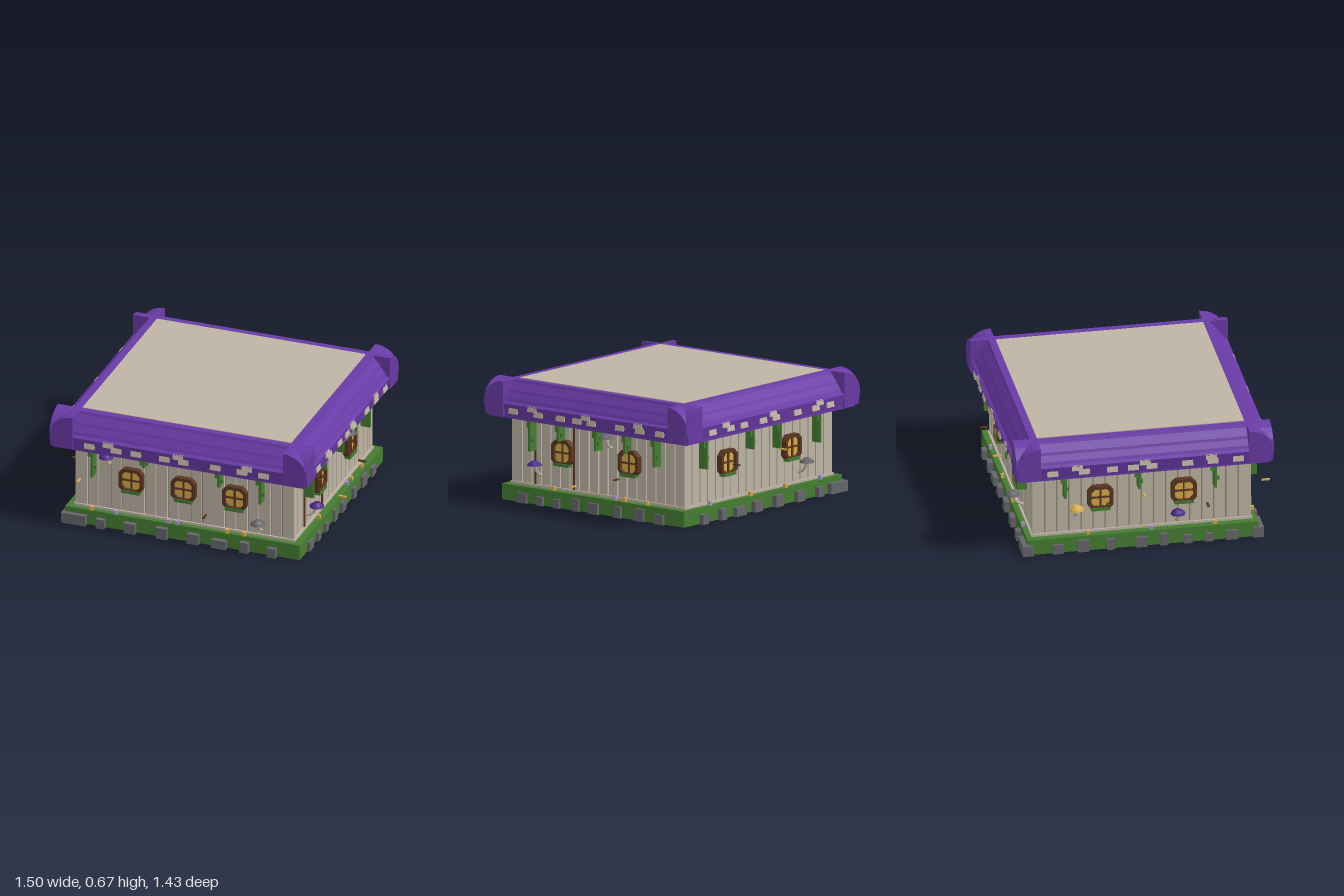
import * as THREE from 'three';

const mat = (name, color) => Object.assign(new THREE.MeshStandardMaterial({ color }), { name });
const M = {
  purple: mat('roof purple', 0x693aa6),
  beige: mat('weathered plank', 0xbeb4a4),
  gap: mat('plank gap', 0x8c8375),
  moss: mat('moss green', 0x457c31),
  stone: mat('grey stone', 0x66656a),
  wood: mat('dark wood', 0x5a3620),
  gold: mat('amber glass', 0xd9aa4b),
  violet: mat('violet cap', 0x4c2788),
  lilac: mat('lilac flower', 0xa996cc),
};

function add(parent, name, geo, material, x = 0, y = 0, z = 0) {
  const m = new THREE.Mesh(geo, material);
  m.name = name;
  m.position.set(x, y, z);
  parent.add(m);
  return m;
}
const box = (p, name, material, w, h, d, x, y, z) =>
  add(p, name, new THREE.BoxGeometry(w, h, d), material, x, y, z);

// Extrudes an (outward, height) profile along local x, centred on x = 0
function prism(points, length) {
  const s = new THREE.Shape(points.map(([a, b]) => new THREE.Vector2(a, b)));
  const g = new THREE.ExtrudeGeometry(s, { depth: length, bevelEnabled: false });
  return g.rotateY(-Math.PI / 2).translate(length / 2, 0, 0);
}

function octagon(r, c, Type = THREE.Shape) {
  return new Type([[r, -r + c], [r, r - c], [r - c, r], [-r + c, r], [-r, r - c],
    [-r, -r + c], [-r + c, -r], [r - c, -r]].map(([x, y]) => new THREE.Vector2(x, y)));
}

function windowUnit(parent, x, wall) {
  const g = new THREE.Group();
  g.name = 'window';
  g.position.set(x, 0.303, wall);
  const ring = octagon(0.07, 0.028);
  ring.holes.push(octagon(0.052, 0.02, THREE.Path));
  add(g, 'windowFrame', new THREE.ExtrudeGeometry(ring, { depth: 0.033, bevelEnabled: false }), M.wood);
  add(g, 'windowGlass', new THREE.ShapeGeometry(octagon(0.056, 0.02)), M.gold, 0, 0, 0.016);
  box(g, 'windowBar', M.wood, 0.009, 0.106, 0.01, 0, 0, 0.02);
  box(g, 'windowBar', M.wood, 0.106, 0.009, 0.01, 0, 0, 0.02);
  box(g, 'mossySill', M.moss, 0.105, 0.018, 0.035, 0, -0.066, 0.02);
  parent.add(g);
}

// Shelf mushroom on a bent stem growing out of the wall
function mushroom(parent, x, y, wall, material) {
  const g = new THREE.Group();
  g.name = 'mushroom';
  g.position.set(x, y, wall);
  const stem = new THREE.CatmullRomCurve3([new THREE.Vector3(0, -0.07, -0.01),
    new THREE.Vector3(0, -0.05, 0.035), new THREE.Vector3(0, 0, 0.06)]);
  add(g, 'mushroomStem', new THREE.TubeGeometry(stem, 5, 0.008, 6), M.beige);
  add(g, 'mushroomBrim', new THREE.CylinderGeometry(0.036, 0.042, 0.012, 8), material, 0, 0, 0.06);
  add(g, 'mushroomCrown', new THREE.CylinderGeometry(0.016, 0.032, 0.014, 8), material, 0, 0.013, 0.06);
  parent.add(g);
}

const BAND = 0.135, TOP = 0.67;
// Sloping eave between corners, and the rounded eave used at each corner
const slopedEave = [[0, 0.48], [0.118, 0.48], [0.134, 0.55], [0.115, 0.56], [0.108, 0.575],
  [0.084, 0.605], [0.078, 0.618], [0.045, 0.655], [0.038, TOP], [0, TOP]];
const roundEave = [[0, 0.48], [0.12, 0.48], [BAND, 0.55]];
for (let i = 1; i <= 6; i++) {
  const a = (i / 6) * Math.PI / 2;
  roundEave.push([BAND * Math.cos(a), 0.55 + 0.12 * Math.sin(a)]);
}

function side(cfg) {
  const g = new THREE.Group();
  g.name = cfg.name;
  g.rotation.y = cfg.turn;
  const { half, wall, inner, eave } = cfg;

  // Plank cladding
  const n = Math.round((half * 2) / 0.066), step = (half * 2) / n;
  for (let i = 0; i < n; i++)
    box(g, 'wallPlank', M.beige, step - 0.008, 0.375, 0.012, -half + step * (i + 0.5), 0.282, wall - 0.006);
  cfg.beams.forEach(x => box(g, 'wallBeam', M.wood, 0.01, 0.37, 0.012, x, 0.28, wall));
  box(g, 'sillBoard', M.beige, half * 2 + 0.02, 0.014, 0.014, 0, 0.097, wall + 0.003);

  // Roof edge
  add(g, 'eave', prism(slopedEave, inner * 2), M.purple, 0, 0, eave);
  for (const s of [-1, 1])
    add(g, 'eaveCorner', prism(roundEave, BAND), M.purple, s * (inner + BAND / 2), 0, eave);

  // Worn shingles follow the fascia slope: [x, high row]
  cfg.patches.forEach(([x, high]) => {
    const p = box(g, 'wornShingle', M.beige, 0.06, high ? 0.03 : 0.036, 0.008,
      x, high ? 0.538 : 0.514, eave + (high ? 0.131 : 0.127));
    p.rotation.x = -0.22;
    p.position.z += 0.001;
  });

  cfg.windows.forEach(x => windowUnit(g, x, wall));

  // Hanging vines stand out from the wall
  cfg.vines.forEach(([x, len]) => {
    box(g, 'vine', M.moss, 0.014, len, 0.055, x, 0.47 - len / 2, wall + 0.03);
    box(g, 'vineLeaf', M.moss, 0.034, 0.05, 0.012, x - 0.008, 0.445, wall + 0.045);
    box(g, 'vineLeaf', M.moss, 0.026, 0.02, 0.014, x + 0.008, 0.47 - len * 0.65, wall + 0.04);
  });
  cfg.mushrooms.forEach(([x, y, m]) => mushroom(g, x, y, wall, m));

  // Foundation stones: [x, width, height], mirrored on the opposite side
  cfg.stones.forEach(([x, w, h]) =>
    box(g, 'foundationStone', M.stone, w, h, 0.06, x * cfg.mirror, h / 2, wall + 0.035));

  // Small flowers on the moss ledge
  cfg.flowers.forEach(([x, m]) =>
    box(g, 'flower', m, 0.018, 0.024, 0.018, x, 0.1, wall + 0.03));

  // Little fluttering leaves beside the wall
  cfg.leaves.forEach(([x, y, m]) =>
    box(g, 'driftingLeaf', m, 0.012, 0.008, 0.045, x, y, wall + 0.095));
  return g;
}

export function createModel() {
  const root = new THREE.Group();
  root.name = 'cottageFloor';
  const { gold, lilac, stone, violet, wood } = M;

  // Core, base and roof slabs
  box(root, 'wallCore', M.gap, 1.236, 0.39, 1.176, 0, 0.28, 0);
  box(root, 'mossBase', M.moss, 1.36, 0.088, 1.275, 0, 0.046, 0);
  box(root, 'floorUnderside', M.beige, 1.26, 0.006, 1.2, 0, 0.003, 0);
  box(root, 'soffit', M.beige, 1.40, 0.012, 1.34, 0, 0.476, 0);
  box(root, 'roofCore', M.purple, 1.22, 0.18, 1.15, 0, 0.577, 0);
  box(root, 'roofDeck', M.beige, 1.21, 0.006, 1.145, 0, 0.669, 0);
  for (const x of [-1, 1]) for (const z of [-1, 1])
    box(root, 'cornerPost', M.beige, 0.04, 0.375, 0.04, x * 0.613, 0.282, z * 0.583);

  // Purple lip under the eaves
  for (const s of [-1, 1]) {
    box(root, 'eaveLip', M.purple, 1.45, 0.014, 0.03, 0, 0.474, s * 0.675);
    box(root, 'eaveLip', M.purple, 0.03, 0.014, 1.37, s * 0.71, 0.474, 0);
  }

  const longPatches = [[-0.515, 0], [-0.405, 1], [-0.36, 0], [-0.245, 0], [-0.08, 0], [0, 1],
    [0.03, 0], [0.215, 0], [0.37, 0], [0.4, 1], [0.495, 0]];
  const shortPatches = [[-0.51, 0], [-0.375, 1], [-0.335, 0], [-0.18, 0], [-0.065, 0], [0, 1],
    [0.037, 0], [0.235, 0], [0.365, 1], [0.375, 0], [0.515, 0]];
  const longStones = [[-0.625, 0.14, 0.06], [-0.47, 0.048, 0.055], [-0.3, 0.065, 0.06], [-0.115, 0.065, 0.065],
    [0.067, 0.065, 0.06], [0.217, 0.085, 0.05], [0.363, 0.05, 0.062], [0.523, 0.05, 0.055]];
  const shortStones = [[-0.49, 0.065, 0.055], [-0.365, 0.045, 0.05], [-0.248, 0.045, 0.05],
    [-0.115, 0.045, 0.07], [0.01, 0.065, 0.06], [0.18, 0.045, 0.065], [0.33, 0.065, 0.07],
    [0.47, 0.06, 0.055]];
  const long = { half: 0.63, wall: 0.6, inner: 0.61, eave: 0.575, patches: longPatches, stones: longStones };
  const short = { half: 0.6, wall: 0.63, inner: 0.575, eave: 0.61, patches: shortPatches, stones: shortStones };

  root.add(side({ ...long, name: 'frontSide', turn: 0, mirror: 1,
    beams: [], windows: [-0.303, 0, 0.297],
    vines: [[-0.52, 0.17], [-0.22, 0.06], [0.215, 0.1], [0.455, 0.16]],
    mushrooms: [[-0.435, 0.445, violet], [0.445, 0.195, stone]],
    flowers: [[-0.53, gold], [-0.39, lilac], [-0.085, lilac], [-0.035, lilac], [0.255, gold], [0.355, gold]],
    leaves: [[-0.58, 0.29, gold], [0.15, 0.2, wood]] }));
  root.add(side({ ...short, name: 'rightSide', turn: Math.PI / 2, mirror: 1,
    beams: [-0.44, -0.17], windows: [-0.237, 0.228],
    vines: [[-0.44, 0.18], [-0.24, 0.1], [0.02, 0.12], [0.225, 0.11], [0.43, 0.16]],
    mushrooms: [[-0.4, 0.225, violet], [0.095, 0.435, stone]],
    flowers: [[-0.29, gold], [0.14, lilac], [0.205, gold], [0.365, gold]],
    leaves: [[0.2, 0.22, wood], [-0.1, 0.145, gold]] }));
  root.add(side({ ...long, name: 'backSide', turn: Math.PI, mirror: -1,
    beams: [], windows: [-0.28, 0.27],
    vines: [[-0.5, 0.17], [-0.1, 0.12], [0.13, 0.15], [0.47, 0.17]],
    mushrooms: [[0.35, 0.215, stone]],
    flowers: [[-0.45, lilac], [-0.1, gold], [0.2, gold], [0.5, lilac]],
    leaves: [[0.1, 0.325, gold], [-0.3, 0.3, wood]] }));
  root.add(side({ ...short, name: 'leftSide', turn: -Math.PI / 2, mirror: -1,
    beams: [], windows: [-0.23, 0.23],
    vines: [[-0.43, 0.14], [-0.02, 0.12], [0.4, 0.15]],
    mushrooms: [[-0.37, 0.265, gold], [0.19, 0.19, violet]],
    flowers: [[-0.3, gold], [0.05, lilac], [0.4, gold]],
    leaves: [[0, 0.33, gold], [-0.2, 0.29, wood], [0.35, 0.24, wood]] }));
  return root;
}
